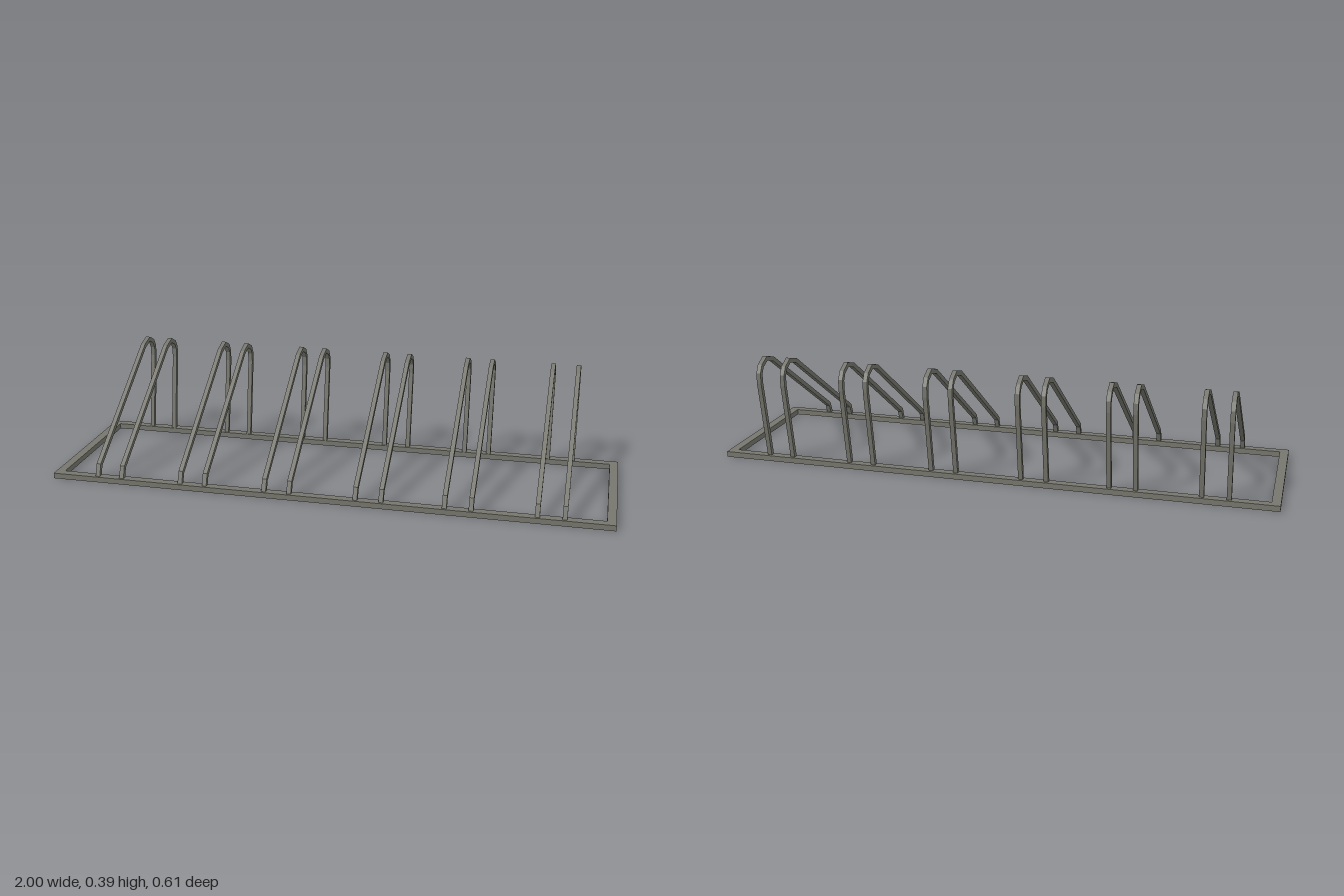
import * as THREE from 'three';

const steel = new THREE.MeshStandardMaterial({ color: 0x77776f });
steel.name = 'grey steel';

const BAR = 0.016; // square section of the hoops

// Flat band of even width along a [z, y] path, with mitred corners
function bandShape(path, width) {
  const pts = path.map(([z, y]) => new THREE.Vector2(z, y));
  const normal = (a, b) => {
    const d = b.clone().sub(a).normalize();
    return new THREE.Vector2(-d.y, d.x);
  };
  const left = [], right = [];
  pts.forEach((p, i) => {
    const n1 = i > 0 ? normal(pts[i - 1], p) : normal(p, pts[i + 1]);
    const n2 = i < pts.length - 1 ? normal(p, pts[i + 1]) : n1;
    const m = n1.clone().add(n2).normalize();
    m.multiplyScalar(width / 2 / m.dot(n1));
    left.push(p.clone().add(m));
    right.push(p.clone().sub(m));
  });
  return new THREE.Shape([...left, ...right.reverse()]);
}

function rectangle(target, x0, y0, x1, y1) {
  target.moveTo(x0, y0);
  target.lineTo(x1, y0);
  target.lineTo(x1, y1);
  target.lineTo(x0, y1);
  target.closePath();
  return target;
}

export function createModel() {
  const group = new THREE.Group();
  group.name = 'bicycleRack';

  // Rectangular ground frame, drawn in x and -z, then laid flat
  const outline = rectangle(new THREE.Shape(), -1, -0.304, 1, 0.267);
  outline.holes.push(rectangle(new THREE.Path(), -0.969, -0.273, 0.969, 0.236));
  const frameGeometry = new THREE.ExtrudeGeometry(outline, { depth: 0.02, bevelEnabled: false });
  frameGeometry.rotateX(-Math.PI / 2);
  const frame = new THREE.Mesh(frameGeometry, steel);
  frame.name = 'groundFrame';
  group.add(frame);

  // Sloping wheel hoop, from the front bar over the top to the back bar
  const path = [
    [0.289, 0.015], [0.273, 0.057], [-0.196, 0.369], [-0.246, 0.383],
    [-0.282, 0.365], [-0.296, 0.34], [-0.296, 0.304], [-0.247, 0.015],
  ];
  const hoopGeometry = new THREE.ExtrudeGeometry(bandShape(path, BAR), { depth: BAR, bevelEnabled: false });
  hoopGeometry.rotateY(-Math.PI / 2);
  hoopGeometry.translate(BAR / 2, 0, 0);

  // Six pairs of hoops, one pair for each wheel
  [-0.7865, -0.4735, -0.1635, 0.1635, 0.4735, 0.7865].forEach((x, i) => {
    const pair = new THREE.Group();
    pair.name = `wheelHolder${i + 1}`;
    for (const side of [-1, 1]) {
      const hoop = new THREE.Mesh(hoopGeometry, steel);
      hoop.name = side < 0 ? 'rightHoop' : 'leftHoop';
      hoop.position.x = x + side * 0.0455;
      pair.add(hoop);
    }
    group.add(pair);
  });

  return group;
}
